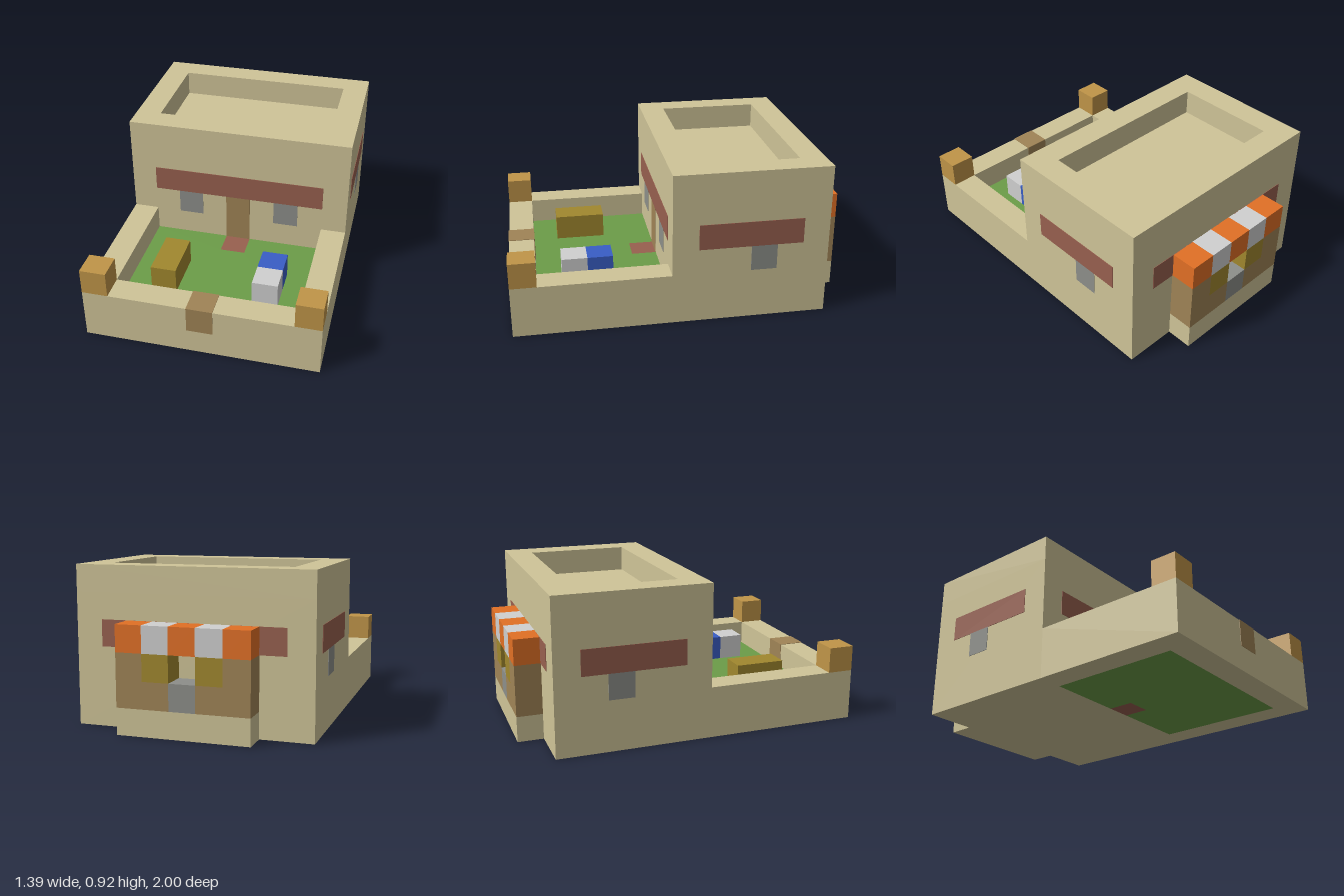
import * as THREE from 'three';

// Everything sits on a 9 x 6 x 13 block grid; U is the size of one block.
const U = 2 / 13;
const PAD = 0.003;

const mat = (name, color) => {
  const m = new THREE.MeshStandardMaterial({ color });
  m.name = name;
  return m;
};

export function createModel() {
  const sand = mat('sandstone', 0xcfc498);
  const wood = mat('brown wood', 0xa08456);
  const amber = mat('amber wood', 0xc09548);
  const red = mat('brick red', 0x98604f);
  const grey = mat('grey', 0x8d8f8a);
  const gold = mat('gold', 0xa1882e);
  const green = mat('grass green', 0x6c9d48);
  const blue = mat('blue', 0x395ec6);
  const white = mat('white', 0xd0d0d0);
  const orange = mat('orange', 0xe27025);

  const root = new THREE.Group();
  root.name = 'houseWithYard';

  const add = (parent, name, geo, material) => {
    const mesh = new THREE.Mesh(geo, material);
    mesh.name = name;
    parent.add(mesh);
    return mesh;
  };
  const group = (name) => {
    const g = new THREE.Group();
    g.name = name;
    root.add(g);
    return g;
  };

  // Box from grid corner a to grid corner b, optionally standing proud along some axes
  const block = (parent, name, material, a, b, pad = [0, 0, 0]) => {
    const size = a.map((v, n) => (b[n] - v) * U + 2 * PAD * pad[n]);
    const mid = a.map((v, n) => (v + b[n]) / 2);
    const mesh = add(parent, name, new THREE.BoxGeometry(...size), material);
    mesh.position.set((mid[0] - 4.5) * U, mid[1] * U, (mid[2] - 6.5) * U);
    return mesh;
  };

  // Upright prism from a plan outline in grid units, with an optional hole
  const toPoints = (pts) => pts.map(([i, k]) => new THREE.Vector2((i - 4.5) * U, (k - 6.5) * U));
  const prism = (parent, name, material, plan, y0, y1, hole) => {
    const shape = new THREE.Shape(toPoints(plan));
    if (hole) shape.holes.push(new THREE.Path(toPoints(hole)));
    const geo = new THREE.ExtrudeGeometry(shape, { depth: (y1 - y0) * U, bevelEnabled: false });
    geo.rotateX(Math.PI / 2).translate(0, y1 * U, 0);
    return add(parent, name, geo, material);
  };
  const rect = (i0, k0, i1, k1) => [[i0, k0], [i1, k0], [i1, k1], [i0, k1]];
  // Rectangle with a notch cut into its house-facing side
  const notched = (i0, k0, i1, k1, n0, n1, depth) => [
    [i0, k0], [n0, k0], [n0, depth], [n1, depth], [n1, k0], [i1, k0], [i1, k1], [i0, k1]];

  // House with a parapet around the sunken roof
  const house = group('house');
  block(house, 'houseBody', sand, [0, 0, 1], [9, 5, 7]);
  prism(house, 'roofParapet', sand, rect(0, 1, 9, 7), 5, 6, rect(1, 2, 8, 6));

  // Painted bands, windows and door
  block(house, 'frontBand', red, [1, 3, 6], [8, 4, 7], [0, 0, 1]);
  block(house, 'backBand', red, [1, 3, 1], [8, 4, 2], [0, 0, 1]);
  for (const i of [0, 8]) {
    block(house, 'sideBand', red, [i, 3, 2], [i + 1, 4, 6], [1, 0, 0]);
    block(house, 'sideWindow', grey, [i, 2, 3], [i + 1, 3, 4], [1, 0, 0]);
  }
  for (const i of [2, 6]) block(house, 'frontWindow', grey, [i, 2, 6], [i + 1, 3, 7], [0, 0, 1]);
  block(house, 'frontDoor', wood, [4, 1, 6], [5, 3, 7], [0, 0, 1]);

  // Walled yard
  const yard = group('yard');
  prism(yard, 'yardWall', sand, notched(0, 7, 9, 13, 1, 8, 12), 0, 2);
  prism(yard, 'lawn', green, notched(1, 7, 8, 12, 4, 5, 8), 0, 1);
  block(yard, 'doormat', red, [4, 0, 7], [5, 1, 8]);
  block(yard, 'gate', wood, [4, 1, 12], [5, 2, 13], [0, 1, 1]);
  for (const i of [0, 8]) block(yard, 'cornerPost', amber, [i, 2, 12], [i + 1, 3, 13]);
  block(yard, 'hayBale', gold, [2, 1, 9], [3, 2, 11]);
  block(yard, 'bedBlanket', blue, [6, 1, 9], [7, 2, 10]);
  block(yard, 'bedPillow', white, [6, 1, 10], [7, 2, 11]);

  // Market stall on the back wall, with a serving hatch in the middle
  const stall = group('marketStall');
  block(stall, 'stallBase', sand, [2, 0, 0], [7, 1, 1]);
  for (const i of [2, 5]) block(stall, 'stallCounter', wood, [i, 1, 0], [i + 2, 2, 1]);
  block(stall, 'hatchSill', grey, [4, 1, 0], [5, 2, 1]);
  for (const i of [2, 6]) block(stall, 'stallPost', wood, [i, 2, 0], [i + 1, 3, 1]);
  for (const i of [3, 5]) block(stall, 'stallGoods', gold, [i, 2, 0], [i + 1, 3, 1]);
  for (let i = 2; i < 7; i++) {
    block(stall, 'awningStripe', i % 2 ? white : orange, [i, 3, 0], [i + 1, 4, 1]);
  }

  return root;
}
